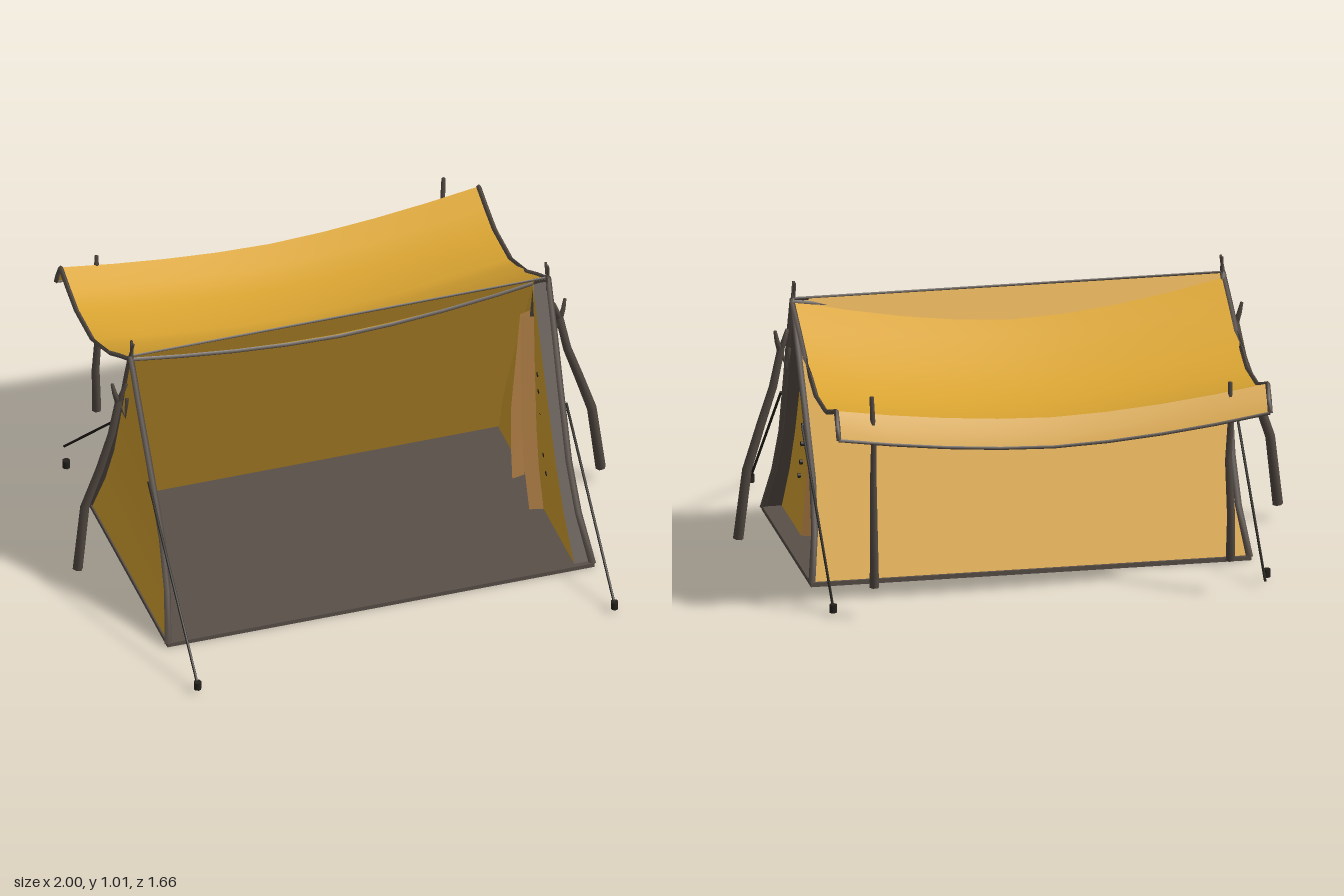
import * as THREE from 'three';

const mat = (name, color) => {
  const m = new THREE.MeshStandardMaterial({ color, side: THREE.DoubleSide });
  m.name = name;
  return m;
};

export function createModel() {
  const canvas = mat('yellow canvas', 0xdca632);
  const lining = mat('tan lining', 0xb98549);
  const grey = mat('grey groundsheet', 0x5a5049);
  const wood = mat('weathered wood', 0x524942);
  const black = mat('black cord', 0x24211c);

  const model = new THREE.Group();
  const add = (name, geo, material) => {
    const mesh = new THREE.Mesh(geo, material);
    mesh.name = name;
    model.add(mesh);
    return mesh;
  };
  const V = (p) => new THREE.Vector3(...p);

  // Sheet of cloth from rows of points
  const sheet = (rows) => {
    const n = rows[0].length, idx = [];
    for (let i = 0; i < rows.length - 1; i++)
      for (let j = 0; j < n - 1; j++) {
        const a = i * n + j, b = a + n;
        idx.push(a, b, a + 1, a + 1, b, b + 1);
      }
    const g = new THREE.BufferGeometry();
    g.setAttribute('position', new THREE.Float32BufferAttribute(rows.flat(2), 3));
    g.setIndex(idx);
    g.computeVertexNormals();
    return g;
  };

  // Bent stick, hem or cord: round sections along a list of points
  const stick = (name, pts, r0, r1, material, sides = 6) => {
    const vs = pts.map(V), rows = [];
    vs.forEach((p, i) => {
      const t = vs[Math.min(i + 1, vs.length - 1)].clone().sub(vs[Math.max(i - 1, 0)]).normalize();
      const u = new THREE.Vector3(0, 0, 1);
      if (Math.abs(t.z) > 0.9) u.set(1, 0, 0);
      u.cross(t).normalize();
      const w = t.clone().cross(u);
      const r = r0 + (r1 - r0) * i / (vs.length - 1);
      const ring = [];
      for (let k = 0; k <= sides; k++) {
        const a = k / sides * Math.PI * 2;
        ring.push(p.clone().addScaledVector(u, Math.cos(a) * r).addScaledVector(w, Math.sin(a) * r).toArray());
      }
      if (i === 0) rows.push(ring.map(() => p.toArray()));
      rows.push(ring);
      if (i === vs.length - 1) rows.push(ring.map(() => p.toArray()));
    });
    return add(name, sheet(rows), material);
  };

  // Tent outline: slopes and the slightly sagging half width
  const H = 0.945;
  const zf = (y) => 0.04 + 0.48 * (1 - y / H);
  const zb = (y) => 0.04 - 0.425 * (1 - y / H);
  const levels = [0.01, 0.18, 0.35, 0.6, 0.8, H];
  const half = [0.795, 0.77, 0.762, 0.77, 0.778, 0.782];
  const mid = 0.04;

  // Groundsheet
  const floor = add('groundsheet', new THREE.BoxGeometry(1.6, 0.016, 0.91), grey);
  floor.position.set(0, 0.008, 0.067);

  // Back slope of the tent
  add('backWall', sheet(levels.map((y, i) => [-1, -0.5, 0, 0.5, 1].map((k) => [k * half[i], y, zb(y)]))), canvas);

  // Closed end wall
  add('closedEnd', sheet(levels.map((y, i) => [[-half[i], y, zb(y)], [-half[i], y, mid], [-half[i], y, zf(y)]])), canvas);

  // Door end: grey returns, two canvas flaps, tan turned edges and eyelets
  const doorX = [0.73, 0.718, 0.715, 0.718, 0.722, 0.725];
  const foldX = [0.68, 0.668, 0.662, 0.672, 0.68, 0.69];
  [[zf, 1], [zb, -1]].forEach(([zs, s]) => {
    const inset = (y) => zs(y) - s * 0.008;
    const gap = (y) => mid + s * (0.004 + 0.108 * (1 - y / H));
    add('doorReturn', sheet(levels.map((y, i) => [[half[i], y, inset(y)], [doorX[i], y, inset(y)]])), grey);
    const flapLevels = levels.slice(0, 5);
    add('doorFlap', sheet(levels.map((y, i) => [[doorX[i], y, inset(y)], [doorX[i], y, gap(y)]])), canvas);
    add('doorFold', sheet(flapLevels.map((y, i) => [[doorX[i], y, gap(y)], [foldX[i], y, gap(y) - s * 0.012]])), lining);
    [[0.22, 0.178], [0.28, 0.148], [0.355, 0.127], [0.43, 0.109], [0.52, 0.09], [0.585, 0.077]].forEach(([y, d]) => {
      const eye = add('eyelet', new THREE.CylinderGeometry(0.009, 0.009, 0.012, 8), black);
      eye.rotation.z = Math.PI / 2;
      eye.position.set(0.722, y, mid + s * d);
    });
  });

  // Hems along the tent edges, crossed tips at the ridge
  for (const side of [-1, 1]) {
    for (const zs of [zf, zb])
      stick('edgeHem', levels.map((y, i) => [side * half[i], y, zs(y)]), 0.013, 0.011, grey, 4);
    stick('ridgeTip', [[side * 0.778, 0.9, 0.055], [side * 0.778, 0.95, 0.042], [side * 0.776, 1.005, 0.03]], 0.008, 0.005, wood);
    stick('ridgeTip', [[side * 0.782, 0.9, 0.025], [side * 0.782, 0.95, 0.038], [side * 0.776, 1.005, 0.055]], 0.008, 0.005, wood);
  }
  stick('ridgeHem', [[-0.782, H, mid], [0.782, H, mid]], 0.005, 0.005, grey, 4);

  // Awning sagging in the middle
  const profile = [[0.935, 0.04], [0.87, -0.08], [0.8, -0.2], [0.76, -0.3], [0.722, -0.4],
    [0.722, -0.585], [0.752, -0.68], [0.785, -0.77]];
  const hem = [[0.785, -0.77], [0.735, -0.8], [0.69, -0.82]];
  const spans = [-1, -0.75, -0.5, -0.25, 0, 0.25, 0.5, 0.75, 1];
  const cloth = ([y, z]) => spans.map((k) => [k * 0.785, y - 0.075 * (1 - Math.abs(k) ** 1.7), z - k * 0.006]);
  add('awning', sheet(profile.map(cloth)), canvas);
  add('awningHem', sheet(hem.map(cloth)), canvas);
  for (const j of [0, spans.length - 1])
    stick('awningSideHem', [...profile, ...hem.slice(1)].map((p) => cloth(p)[j]), 0.009, 0.009, grey, 4);
  stick('awningBackHem', cloth(hem[2]), 0.006, 0.006, grey, 4);
  stick('awningFrontHem', cloth(profile[0]), 0.008, 0.008, grey, 4);

  // Awning poles
  stick('awningPole', [[-0.65, 0.13, -0.762], [-0.65, 0.3, -0.775], [-0.645, 0.5, -0.752], [-0.65, 0.66, -0.766], [-0.648, 0.8, -0.77]], 0.017, 0.008, wood);
  stick('awningPole', [[0.65, 0.12, -0.795], [0.65, 0.3, -0.785], [0.655, 0.5, -0.8], [0.65, 0.66, -0.785], [0.66, 0.835, -0.795]], 0.017, 0.008, wood);

  // Forked end poles, leaning against the ends
  for (const s of [-1, 1]) {
    const dz = s < 0 ? 0.015 : 0;
    stick('endPole', [[s * 0.982, 0.06, 0.03 + dz], [s * 0.952, 0.32, 0.02 + dz], [s * 0.9, 0.48, 0.032 + dz],
      [s * 0.853, 0.62, 0.04], [s * 0.825, 0.76, 0.037]], 0.019, 0.014, wood);
    stick('poleFork', [[s * 0.827, 0.75, 0.037], [s * 0.84, 0.79, 0.035], [s * 0.848, 0.83, 0.03]], 0.012, 0.006, wood);
    stick('poleFork', [[s * 0.825, 0.75, 0.037], [s * 0.802, 0.68, 0.037], [s * 0.795, 0.76, 0.04]], 0.008, 0.008, wood);
    stick('poleFork', [[s * 0.827, 0.75, 0.037], [s * 0.81, 0.8, 0.04], [s * 0.8, 0.83, 0.045]], 0.012, 0.007, wood);
  }

  // Guy ropes and stakes
  const guy = (x, z0, z1, stakeX, stakeZ) => {
    stick('guyRope', [[x, 0.53, z0], [x, 0.03, z1]], 0.005, 0.005, black, 5);
    const stake = add('stake', new THREE.CylinderGeometry(0.014, 0.014, 0.03, 8), black);
    stake.position.set(stakeX, 0.027, stakeZ);
  };
  guy(-0.78, 0.24, 0.81, -0.78, 0.81);
  guy(0.785, 0.24, 0.8, 0.785, 0.8);
  guy(0.785, -0.15, -0.72, 0.785, -0.72);
  guy(-0.785, -0.15, -0.72, -0.81, -0.62);

  return model;
}
